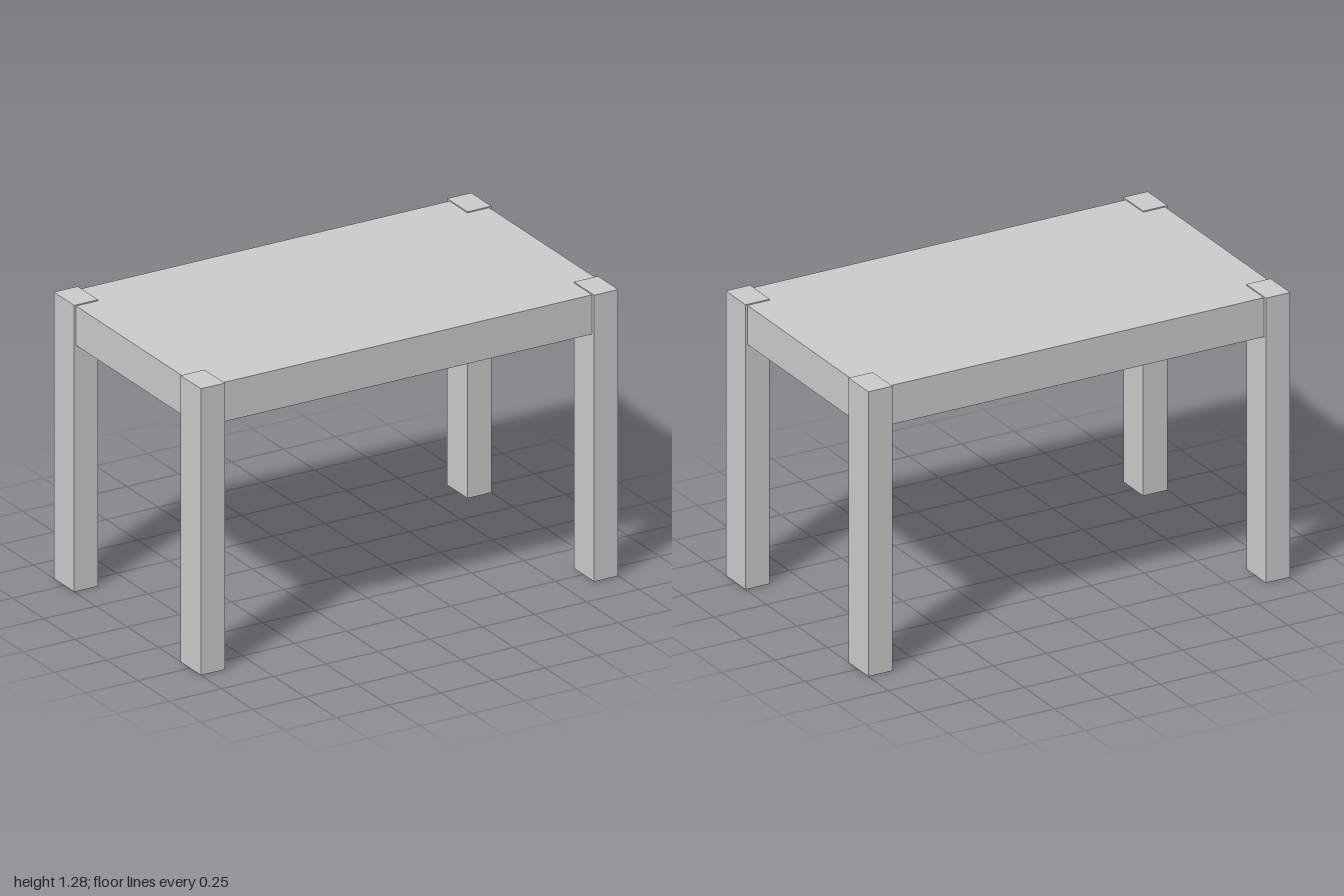
import * as THREE from 'three';

export function createModel() {
  const model = new THREE.Group();
  model.name = 'table';
  const material = new THREE.MeshStandardMaterial({ color: 0xcccccc, flatShading: true });

  const addBox = (name, size, position) => {
    const mesh = new THREE.Mesh(new THREE.BoxGeometry(...size), material);
    mesh.name = name;
    mesh.position.set(...position);
    model.add(mesh);
  };

  // Thick slab, set slightly inside the legs and just below their tops
  const slabBottom = 1.1, slabTop = 1.276;
  addBox('tableTop', [1.98, slabTop - slabBottom, 1.136], [0, (slabBottom + slabTop) / 2, 0]);

  // Four rectangular corner legs, running up through the slab
  const legWidth = 0.115, legHeight = 1.281, legDepth = 0.162;
  for (const [sideName, sx] of [['Left', 1], ['Right', -1]]) {
    for (const [endName, sz] of [['front', 1], ['back', -1]]) {
      addBox(`${endName}${sideName}Leg`, [legWidth, legHeight, legDepth],
        [sx * (1 - legWidth / 2), legHeight / 2, sz * (0.586 - legDepth / 2)]);
    }
  }
  return model;
}
